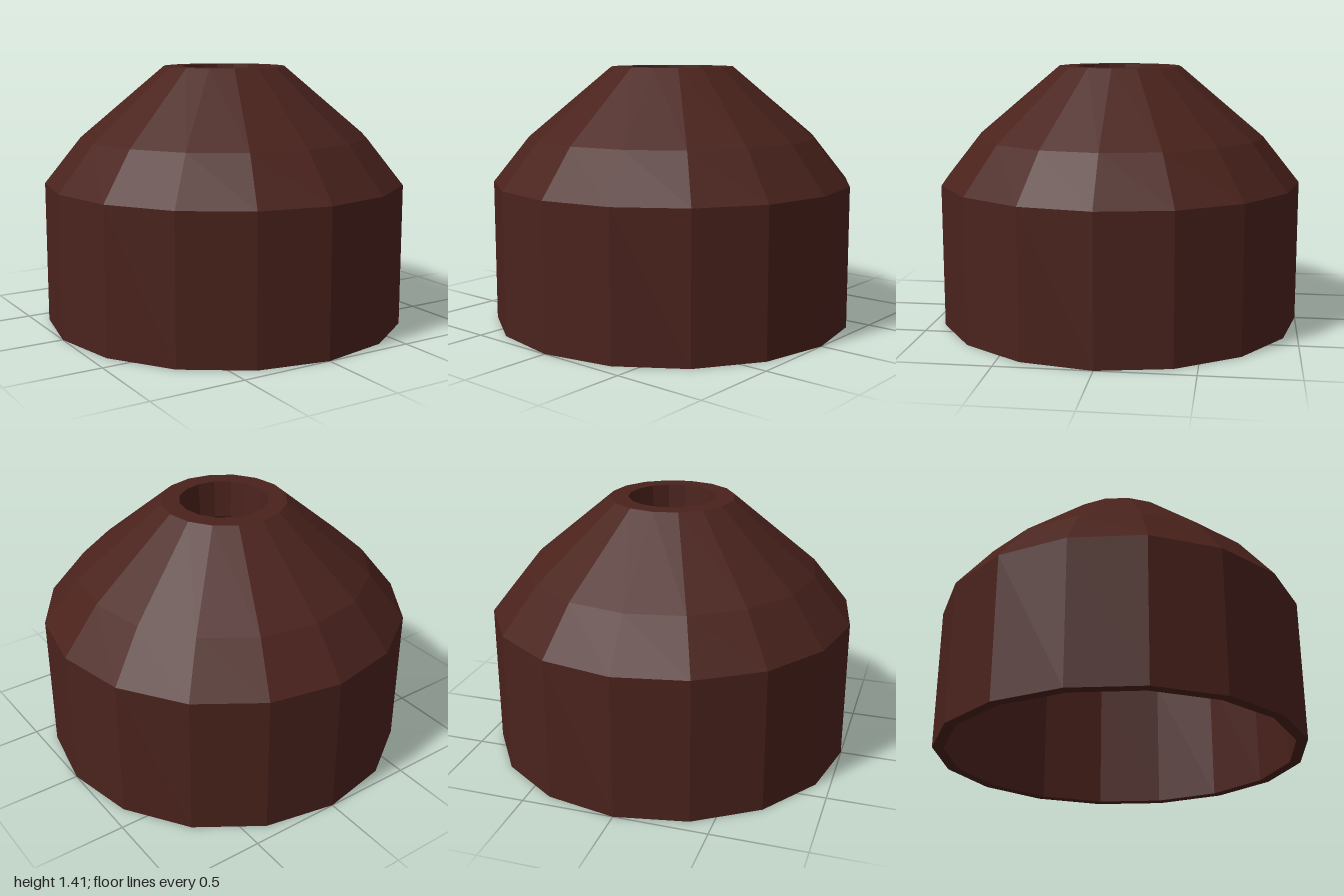
import * as THREE from 'three';

const SIDES = 16;

export function createModel() {
  const group = new THREE.Group();
  group.name = 'hollowCap';
  const material = new THREE.MeshStandardMaterial({ color: 0x4a221c, flatShading: true });

  // Revolves a list of [radius, height] pairs into one faceted part
  const addRing = (name, profile) => {
    const points = profile.map(([r, y]) => new THREE.Vector2(r, y));
    const mesh = new THREE.Mesh(new THREE.LatheGeometry(points, SIDES), material);
    mesh.name = name;
    group.add(mesh);
  };

  // Outside, running upwards
  addRing('outerWall', [[1, 0], [1, 0.78]]);
  addRing('shoulder', [[1, 0.78], [0.8, 1.03], [0.34, 1.415]]);
  addRing('topRim', [[0.34, 1.415], [0.24, 1.415]]);

  // Inside, running downwards
  addRing('neckHole', [[0.24, 1.415], [0.225, 1.21]]);
  addRing('innerShoulder', [[0.225, 1.21], [0.74, 0.95], [0.94, 0.75]]);
  addRing('innerWall', [[0.94, 0.75], [0.94, 0]]);
  addRing('bottomRim', [[0.94, 0], [1, 0]]);

  return group;
}
